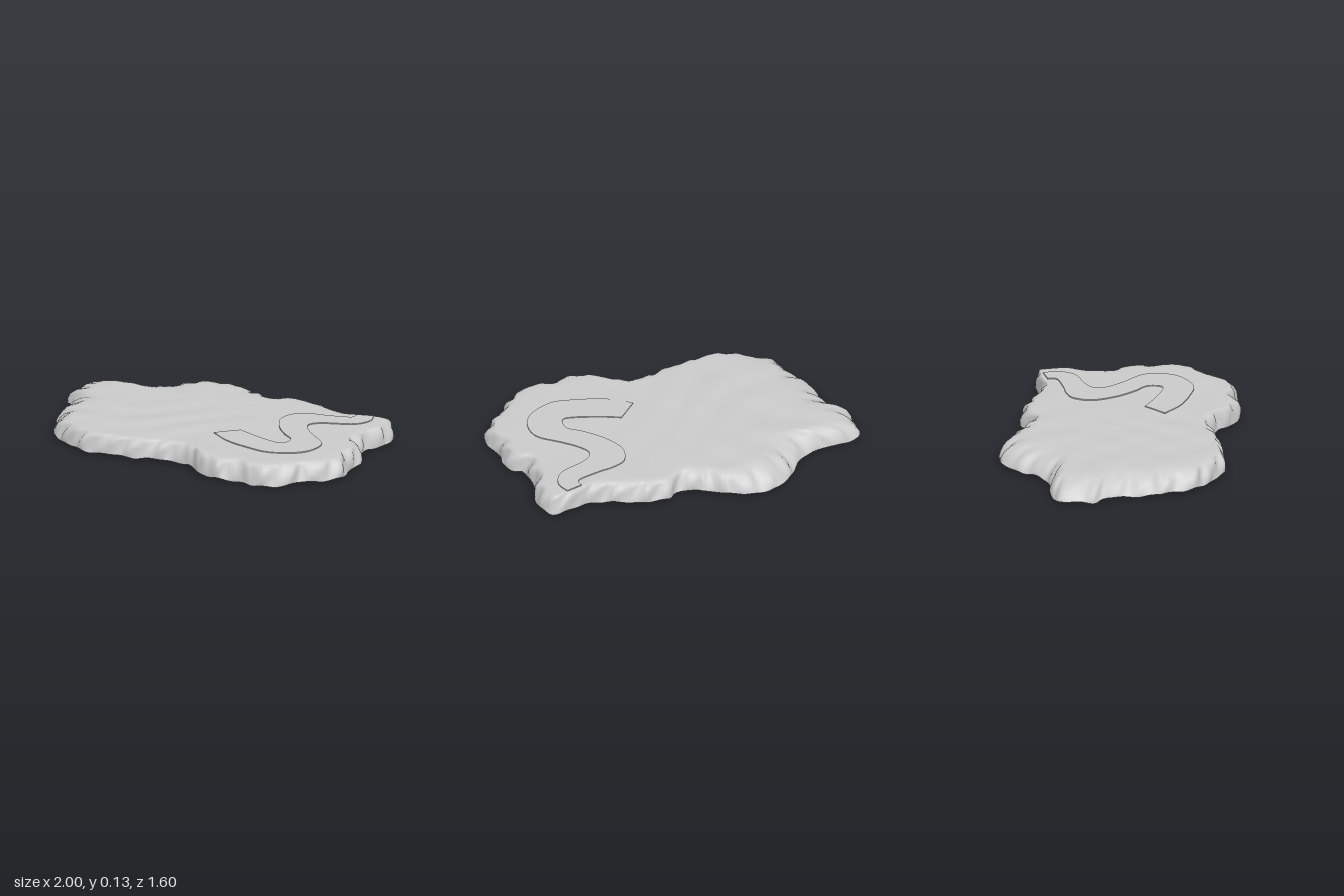
import * as THREE from 'three';

// Shoreline of the slab (x, z), clockwise seen from above
const SHORE = [
  -0.98, -0.52, -0.95, -0.62, -0.91, -0.66, -0.77, -0.66, -0.69, -0.63, -0.58, -0.63, -0.48, -0.67,
  -0.4, -0.73, -0.29, -0.79, -0.22, -0.8, -0.08, -0.77, 0, -0.71, 0.07, -0.63, 0.13, -0.59,
  0.17, -0.54, 0.27, -0.5, 0.34, -0.53, 0.46, -0.48, 0.58, -0.4, 0.72, -0.3, 0.83, -0.29,
  0.96, -0.27, 0.99, -0.22, 0.98, -0.1, 0.9, 0.02, 0.86, 0.18, 0.9, 0.23, 0.91, 0.32,
  0.87, 0.4, 0.87, 0.52, 0.83, 0.6, 0.7, 0.67, 0.63, 0.7, 0.56, 0.76, 0.4, 0.79,
  0.3, 0.74, 0.17, 0.74, 0.06, 0.68, -0.02, 0.58, -0.08, 0.52, -0.2, 0.48, -0.4, 0.47,
  -0.52, 0.45, -0.68, 0.42, -0.76, 0.37, -0.9, 0.22, -0.95, 0.12, -0.95, 0, -0.98, -0.1,
  -0.95, -0.3, -0.97, -0.4, -1, -0.45,
];
// Two banks of the winding path (x, z)
const BANK_A = [0.76, -0.25, 0.74, -0.2, 0.6, -0.2, 0.5, -0.21, 0.41, -0.19, 0.35, -0.09, 0.37, 0.05,
  0.43, 0.18, 0.49, 0.27, 0.46, 0.35, 0.39, 0.33, 0.27, 0.25, 0.17, 0.17];
const BANK_B = [0.03, 0.25, 0.13, 0.37, 0.28, 0.47, 0.42, 0.53, 0.58, 0.5, 0.66, 0.42, 0.68, 0.3,
  0.6, 0.17, 0.55, 0.08, 0.53, -0.01, 0.6, -0.06, 0.78, -0.08, 0.86, -0.16, 0.86, -0.25];

const curve = (a, closed) => {
  const pts = [];
  for (let i = 0; i < a.length; i += 2) pts.push(new THREE.Vector3(a[i], 0, a[i + 1]));
  return new THREE.CatmullRomCurve3(pts, closed, 'catmullrom', 0.5);
};

// Gentle undulation of the ground, calmer around the path
function ground(x, z) {
  const calm = 1 - 0.75 * THREE.MathUtils.smoothstep(x, -0.1, 0.3);
  const n = Math.sin(9 * x + 3 * Math.sin(5 * z)) * Math.sin(11 * z + 2 * Math.sin(6 * x + 1))
    + 0.5 * Math.sin(19 * x + 8 * z) * Math.sin(17 * z - 5 * x);
  return 0.129 + 0.004 * n * calm;
}

function slabGeometry() {
  const N = 280;
  const shore = curve(SHORE, true).getSpacedPoints(N).slice(0, N);
  // Rim cross-section: share of the rim width, share of the height
  const rim = [[0, 0], [0.05, 0.2], [0.2, 0.5], [0.42, 0.77], [0.7, 0.94], [1, 1]];
  const inner = 16, pos = [], index = [];
  const rings = rim.length + inner;
  for (let j = 0; j < rings; j++) {
    shore.forEach((p, i) => {
      const r = Math.hypot(p.x, p.z);
      // Steep on the front and left, sloping gently at the back right
      const width = 0.065 + 0.13 * THREE.MathUtils.smoothstep(-0.6 * p.x - 0.8 * p.z, 0.2, 0.9);
      const a = (i / N) * Math.PI * 2;
      const foot = 0.02 + 0.004 * Math.sin(23 * a) + 0.003 * Math.sin(41 * a + 1)
        - 0.014 * Math.exp(-((p.x - 0.4) ** 2 + (p.z - 0.79) ** 2) / 0.03);
      let s, k = 1;
      if (j < rim.length) {
        const [t, h] = rim[j];
        k = h;
        const ripple = 0.012 * Math.sin(Math.PI * t ** 0.6) * (Math.sin(37 * a + 4 * t) + 0.6 * Math.sin(61 * a + 2));
        s = 1 - (t * width + ripple) / r;
      } else {
        s = (1 - width / r) * (1 - (j - rim.length + 1) / inner);
      }
      const x = p.x * s, z = p.z * s;
      pos.push(x, foot + (ground(x, z) - foot) * k, z);
    });
  }
  for (let j = 0; j < rings - 1; j++) {
    for (let i = 0; i < N; i++) {
      const a = j * N + i, b = j * N + (i + 1) % N;
      index.push(a, a + N, b);
      if (j < rings - 2) index.push(b, a + N, b + N);
    }
  }
  const g = new THREE.BufferGeometry();
  g.setAttribute('position', new THREE.Float32BufferAttribute(pos, 3));
  g.setIndex(index);
  g.computeVertexNormals();
  // Every point of the innermost ring shares the centre, so give all the upright normal
  for (let i = 0; i < N; i++) g.attributes.normal.setXYZ((rings - 1) * N + i, 0, 1, 0);
  return g;
}

function pathGeometry() {
  const outline = [BANK_A, BANK_B].flatMap((b) => curve(b, false).getSpacedPoints(70));
  const shape = new THREE.Shape(outline.map((p) => new THREE.Vector2(p.x, p.z)));
  const g = new THREE.ExtrudeGeometry(shape, { depth: 0.012, bevelEnabled: false });
  return g.rotateX(Math.PI / 2).translate(0, 0.135, 0);
}

export function createModel() {
  const group = new THREE.Group();
  group.name = 'island';
  const material = new THREE.MeshStandardMaterial({ color: 0xcccccc, side: THREE.DoubleSide });
  // Open-bottomed land shell
  const land = new THREE.Mesh(slabGeometry(), material);
  land.name = 'land';
  // Flat winding path, just proud of the ground
  const path = new THREE.Mesh(pathGeometry(), material);
  path.name = 'windingPath';
  group.add(land, path);
  return group;
}
